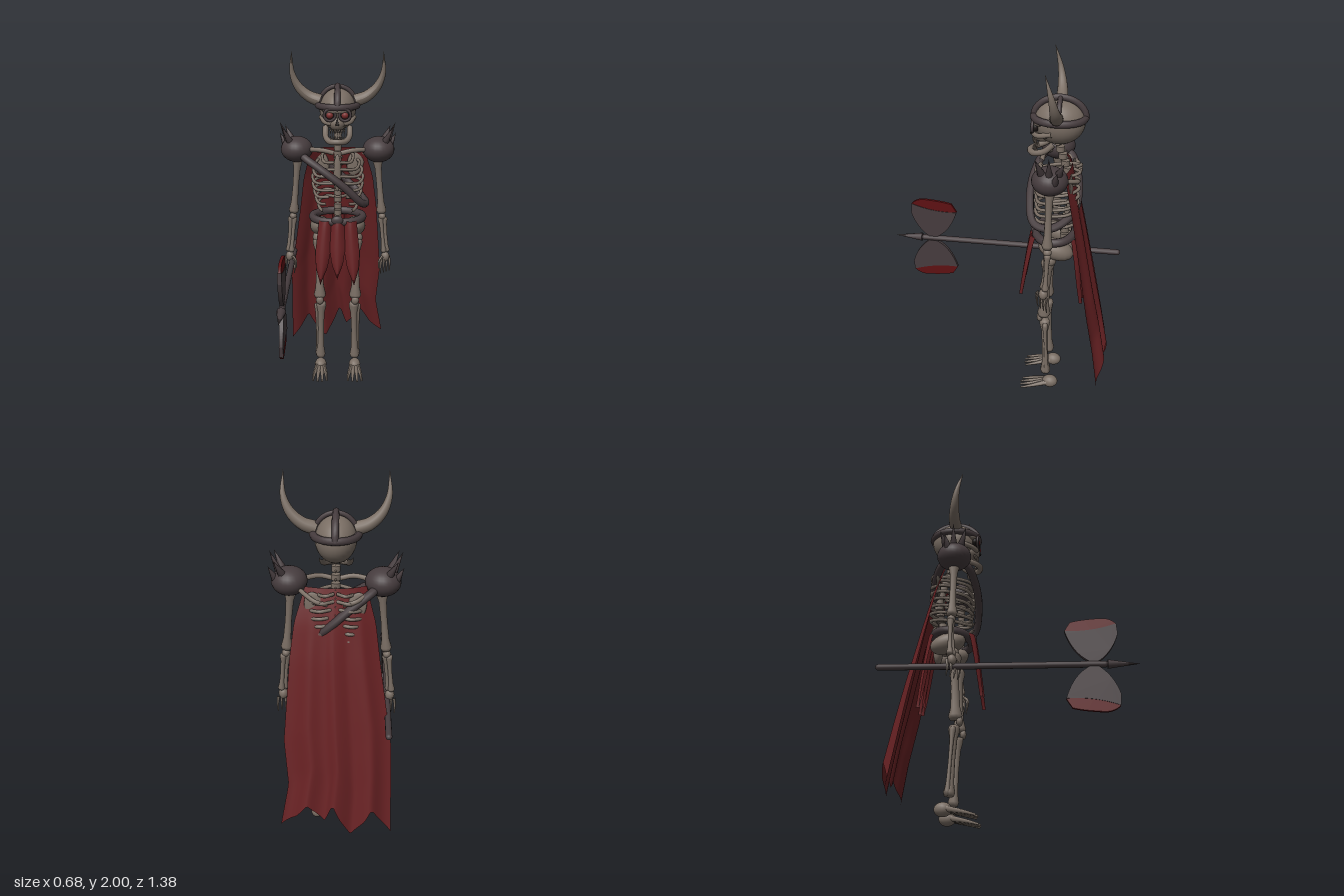
import * as THREE from 'three';

const mat = (name, color, side = THREE.FrontSide) => {
  const m = new THREE.MeshStandardMaterial({ color, side });
  m.name = name;
  return m;
};
const V = (x, y, z) => new THREE.Vector3(x, y, z);

// linear interpolation through [t, value] pairs
const key = (pairs, t) => {
  for (let i = 1; i < pairs.length; i++) {
    const [a, va] = pairs[i - 1], [b, vb] = pairs[i];
    if (t <= b) return va + (vb - va) * (t - a) / (b - a);
  }
  return pairs[pairs.length - 1][1];
};

export function createModel() {
  const bone = mat('bone', 0x7a6e64), iron = mat('dark iron', 0x463c3e);
  const cloth = mat('red cloth', 0x672123, THREE.DoubleSide);
  const edge = mat('blood red edge', 0x5e1012), eyeRed = mat('eye red', 0x7a2a2a);
  const dark = mat('socket black', 0x1d1817);
  const model = new THREE.Group();
  model.name = 'skeletonWarrior';
  const body = new THREE.Group();
  body.name = 'body';
  body.position.x = -0.012;
  model.add(body);

  const add = (name, geo, m, parent = body) => {
    const mesh = new THREE.Mesh(geo, m);
    mesh.name = name;
    parent.add(mesh);
    return mesh;
  };
  const ball = (name, m, p, r, seg = 20) => {
    const g = new THREE.SphereGeometry(1, seg, Math.round(seg * 0.7));
    g.scale(...r);
    const b = add(name, g, m);
    b.position.set(...p);
    return b;
  };
  // turned shape between two points, profile as [radius, fraction along]
  const turned = (name, m, a, b, profile, seg = 10) => {
    const d = V(...b).sub(V(...a)), len = d.length();
    const g = new THREE.LatheGeometry(profile.map(([r, t]) => new THREE.Vector2(r, t * len)), seg);
    const t = add(name, g, m);
    t.position.set(...a);
    t.quaternion.setFromUnitVectors(V(0, 1, 0), d.normalize());
    return t;
  };
  const longBone = (name, a, b, r) => turned(name, bone, a, b,
    [[0, 0], [r * 1.3, 0.02], [r * 1.5, 0.07], [r, 0.2], [r * 0.85, 0.5], [r, 0.8], [r * 1.45, 0.93], [r * 1.2, 0.98], [0, 1]]);
  const spike = (name, m, a, b, r, seg = 8) => turned(name, m, a, b, [[0, 0], [r, 0.001], [0, 1]], seg);
  // tube through points whose radius follows a rule
  const tube = (name, m, pts, radius, n = 24, closed = false, seg = 8, rule = null) => {
    const curve = new THREE.CatmullRomCurve3(pts.map(p => V(...p)), closed);
    const g = new THREE.TubeGeometry(curve, n, radius, seg, closed);
    if (rule) {
      const p = g.attributes.position, v = V(0, 0, 0);
      for (let i = 0; i < p.count; i++) {
        const t = Math.floor(i / (seg + 1)) / n, c = curve.getPointAt(t);
        v.fromBufferAttribute(p, i).sub(c).multiplyScalar(rule(t)).add(c);
        p.setXYZ(i, v.x, v.y, v.z);
      }
      g.computeVertexNormals();
    }
    return add(name, g, m);
  };
  const sheet = (name, nu, nv, f) => {
    const g = new THREE.PlaneGeometry(1, 1, nu, nv), p = g.attributes.position;
    for (let i = 0; i < p.count; i++) p.setXYZ(i, ...f(p.getX(i) + 0.5, 0.5 - p.getY(i)));
    g.computeVertexNormals();
    return add(name, g, cloth);
  };

  // skull and jaw
  ball('cranium', bone, [0, 1.67, -0.32], [0.105, 0.12, 0.135], 28);
  ball('upperJaw', bone, [0, 1.605, -0.235], [0.05, 0.05, 0.06]);
  ball('browRidge', bone, [0, 1.675, -0.22], [0.085, 0.022, 0.045]);
  spike('noseHole', dark, [0, 1.595, -0.178], [0, 1.64, -0.185], 0.013, 6);
  tube('lowerJaw', bone, [[-0.07, 1.57, -0.3], [-0.068, 1.525, -0.25], [-0.045, 1.505, -0.19], [0, 1.505, -0.17],
    [0.045, 1.505, -0.19], [0.068, 1.525, -0.25], [0.07, 1.57, -0.3]], 0.017, 32);
  for (let i = -3; i <= 3; i++) {
    const x = i * 0.013, z = -0.185 - Math.abs(i) * 0.006;
    spike('upperTooth', bone, [x, 1.572, z], [x, 1.542, z], 0.007, 6);
    spike('lowerTooth', bone, [x, 1.512, z - 0.004], [x, 1.54, z - 0.004], 0.007, 6);
  }

  // helmet bands
  const ring = (f, n = 12, end = n) => Array.from({ length: end }, (_, i) => f(i * 2 * Math.PI / n));
  const rim = tube('helmetRim', iron, ring(a => [0.113 * Math.cos(a), 0, 0.134 * Math.sin(a)]), 0.02, 48, true);
  rim.position.set(0, 1.695, -0.318);
  const arc = r => Array.from({ length: 9 }, (_, i) => [r * Math.cos(i * Math.PI / 8), 0.112 * Math.sin(i * Math.PI / 8), 0]);
  tube('crossBand', iron, arc(0.107), 0.013, 28).position.set(0, 1.69, -0.32);
  const crest = tube('crestBand', iron, arc(0.137), 0.018, 28);
  crest.position.set(0, 1.69, -0.32);
  crest.rotation.y = Math.PI / 2;

  for (const s of [-1, 1]) {
    // face and horns
    ball('eyeSocket', dark, [s * 0.043, 1.653, -0.2], [0.031, 0.028, 0.022]);
    ball('eye', eyeRed, [s * 0.043, 1.653, -0.186], [0.02, 0.018, 0.014], 14);
    add('eyeRim', new THREE.TorusGeometry(0.032, 0.008, 8, 20), iron).position.set(s * 0.043, 1.655, -0.185);
    tube('cheekbone', bone, [[s * 0.03, 1.605, -0.19], [s * 0.068, 1.61, -0.215], [s * 0.095, 1.63, -0.29]], 0.014, 12);
    tube('horn', bone, [[s * 0.1, 1.72, -0.31], [s * 0.165, 1.745, -0.315], [s * 0.225, 1.8, -0.31],
      [s * 0.258, 1.88, -0.295], [s * 0.258, 2.0, -0.262]], 0.036, 32, false, 14, t => 1.01 - Math.pow(t, 1.3));

    // shoulders and spikes
    ball('pauldron', iron, [s * 0.238, 1.44, -0.3], [0.093, 0.075, 0.095], 24);
    for (const [bx, by, bz, tx, ty, tz] of [[0.285, 1.48, -0.3, 0.335, 1.6, -0.3], [0.27, 1.49, -0.345, 0.31, 1.57, -0.375],
      [0.275, 1.49, -0.26, 0.32, 1.585, -0.23], [0.305, 1.46, -0.33, 0.34, 1.53, -0.345]])
      spike('pauldronSpike', iron, [s * bx, by, bz], [s * tx, ty, tz], 0.022);
    tube('collarbone', bone, [[s * 0.02, 1.43, -0.23], [s * 0.09, 1.445, -0.235], [s * 0.2, 1.44, -0.29]], 0.014, 14);
    const blade = ball('shoulderBlade', bone, [s * 0.105, 1.34, -0.4], [0.05, 0.08, 0.012]);
    blade.rotation.z = s * -0.25;
    tube('shoulderRidge', bone, [[s * 0.04, 1.36, -0.425], [s * 0.1, 1.38, -0.435], [s * 0.2, 1.42, -0.34]], 0.012, 14);

    // ribs
    for (let i = 0; i < 8; i++) {
      const y = 1.4 - i * 0.041, w = [0.09, 0.125, 0.142, 0.148, 0.145, 0.138, 0.128, 0.115][i];
      const gap = i < 5 ? 0.015 : 0.03 + (i - 4) * 0.016;
      tube('rib', bone, [[s * 0.01, y + 0.012, -0.41], [s * w * 0.55, y + 0.012, -0.442], [s * w * 0.95, y, -0.39],
        [s * w, y - 0.012, -0.31], [s * w * 0.8, y - 0.025, -0.235], [s * gap, y - 0.02, -0.205]], 0.0095, 28, false, 7);
    }

    // arms
    longBone('upperArm', [s * 0.232, 1.4, -0.3], [s * 0.263, 1.05, -0.3], 0.021);
    ball('elbow', bone, [s * 0.266, 1.035, -0.302], [0.022, 0.022, 0.024], 12);
    longBone('forearmInner', [s * 0.258, 1.03, -0.3], [s * 0.279, 0.81, -0.285], 0.012);
    longBone('forearmOuter', [s * 0.278, 1.03, -0.305], [s * 0.297, 0.81, -0.3], 0.013);
    ball('palm', bone, [s * 0.288, 0.785, -0.29], [0.026, 0.032, 0.026], 12);
    for (let i = 0; i < 4; i++) {
      const x = 0.288 + (i - 1.5) * 0.015, z = -0.26 - i * 0.018;
      tube('finger', bone, [[s * x, 0.78, z], [s * (x + (i - 1.5) * 0.004), 0.735, z + 0.006],
        [s * (x + (i - 1.5) * 0.003), 0.685, z]], 0.0085, 10, false, 6, t => 1.05 - 0.7 * t);
    }
    tube('thumb', bone, [[s * 0.27, 0.79, -0.27], [s * 0.25, 0.765, -0.25], [s * 0.25, 0.72, -0.25]],
      0.009, 10, false, 6, t => 1.05 - 0.7 * t);

    // hips and legs
    const hip = ball('hipBone', bone, [s * 0.105, 0.965, -0.335], [0.062, 0.058, 0.1]);
    hip.rotation.x = -0.3;
    ball('hipJoint', bone, [s * 0.115, 0.9, -0.305], [0.036, 0.036, 0.036], 14);
    longBone('thigh', [s * 0.113, 0.9, -0.295], [s * 0.108, 0.515, -0.28], 0.026);
    ball('kneecap', bone, [s * 0.108, 0.51, -0.258], [0.024, 0.028, 0.018], 12);
    longBone('shin', [s * 0.1, 0.495, -0.285], [s * 0.107, 0.105, -0.302], 0.021);
    longBone('outerShin', [s * 0.127, 0.48, -0.29], [s * 0.123, 0.11, -0.31], 0.011);
    ball('heel', bone, [s * 0.108, 0.045, -0.33], [0.037, 0.038, 0.047], 14);
    for (let i = 0; i < 4; i++) {
      const k = i - 1.5;
      tube('toe', bone, [[s * (0.108 + k * 0.012), 0.045, -0.31], [s * (0.108 + k * 0.024), 0.027, -0.23],
        [s * (0.108 + k * 0.029), 0.008, -0.148 - Math.abs(k) * 0.008]], 0.015, 12, false, 7, t => 1.1 - 0.75 * t);
    }
  }

  // spine, breastbone and tailbone
  for (let i = 0; i < 16; i++) {
    const t = i / 15, y = 1.56 - t * 0.6;
    const z = key([[0, -0.315], [0.25, -0.37], [0.5, -0.41], [0.8, -0.37], [1, -0.37]], t);
    add('vertebra', new THREE.CylinderGeometry(0.024, 0.024, 0.03, 10), bone).position.set(0, y, z);
    spike('spineSpur', bone, [0, y, z], [0, y - 0.015, z - 0.045], 0.012, 6);
  }
  ball('breastbone', bone, [0, 1.32, -0.205], [0.022, 0.11, 0.012]);
  ball('tailbone', bone, [0, 0.945, -0.4], [0.045, 0.06, 0.025]);

  // belt, buckle and chest strap
  const belt = tube('belt', iron, ring(a => [0.15 * Math.cos(a), -0.008 * Math.sin(a), 0.108 * Math.sin(a)]), 0.024, 48, true);
  belt.position.set(0, 1.028, -0.322);
  ball('buckle', iron, [0, 1.035, -0.2], [0.035, 0.028, 0.018]);
  tube('chestStrap', iron, [[-0.2, 1.41, -0.24], [-0.1, 1.345, -0.19], [0.04, 1.24, -0.178], [0.145, 1.135, -0.215],
    [0.165, 1.125, -0.31], [0.08, 1.2, -0.425], [-0.08, 1.34, -0.425], [-0.2, 1.42, -0.36]], 0.022, 64, true);

  // waist cloth strips
  const strip = (name, x0, x1, w, tip, z0, z1) => sheet(name, 8, 14, (u, v) => {
    const k = (u - 0.5) * 2, half = w * key([[0, 0.85], [0.5, 1], [0.75, 0.75], [1, 0.03]], v);
    return [x0 + (x1 - x0) * v + k * half, 1.03 + (tip - 1.03) * v,
      z0 + (z1 - z0) * Math.pow(v, 0.8) - Math.sign(z1 - z0) * 0.03 * k * k * (1 - v * 0.4)];
  });
  for (const [dz, a, b, name] of [[0, -0.19, -0.135, 'frontCloth'], [1, -0.445, -0.495, 'backCloth']]) {
    strip(name, -0.07, -0.1, 0.045, 0.655 - dz * 0.06, a, b);
    strip(name, 0.002, 0.0, 0.045, 0.69 - dz * 0.1, a + (dz ? -0.004 : 0.004), b);
    strip(name, 0.075, 0.1, 0.045, 0.65 - dz * 0.03, a, b);
  }

  // cape with torn hem
  const left = [[0, -0.155], [0.14, -0.205], [0.29, -0.23], [0.63, -0.295], [1, -0.303]];
  const right = [[0, 0.155], [0.14, 0.21], [0.29, 0.235], [0.63, 0.267], [0.82, 0.245], [1, 0.287]];
  const hem = [[0, 0.11], [0.1, 0.19], [0.18, 0.27], [0.24, 0.2], [0.37, 0.11], [0.47, 0.22], [0.53, 0.31],
    [0.6, 0.2], [0.7, 0.26], [0.76, 0.3], [0.86, 0.22], [1, 0.16]];
  const drop = [[0, -0.395], [0.14, -0.44], [0.32, -0.485], [0.63, -0.555], [1, -0.64]];
  sheet('cape', 48, 32, (u, v) => {
    const k = 2 * u - 1, a = key(left, v), b = key(right, v);
    return [a + (b - a) * u, 1.435 + (key(hem, u) - 1.435) * v,
      key(drop, v) + 0.045 * k * k * (u < 0.5 ? 1 : 0.6) + 0.012 * v * Math.sin(u * 22)];
  });

  // two-bladed axe, lying along z
  const axe = new THREE.Group();
  axe.name = 'axe';
  axe.position.set(-0.287, 0.755, 0);
  model.add(axe);
  const shaft = add('axeShaft', new THREE.CapsuleGeometry(0.017, 1.18, 6, 12), iron, axe);
  shaft.rotation.x = Math.PI / 2;
  shaft.position.z = -0.083;
  const point = add('axePoint', new THREE.ConeGeometry(0.026, 0.17, 8), iron, axe);
  point.rotation.x = Math.PI / 2;
  point.position.z = 0.605;
  // blade outlines as (z, height above shaft)
  const plate = (draw, thick) => {
    const s = new THREE.Shape();
    draw(s);
    const g = new THREE.ExtrudeGeometry(s, { depth: thick, bevelEnabled: false, curveSegments: 14 });
    g.translate(0, 0, -thick / 2);
    g.rotateY(-Math.PI / 2);
    return g;
  };
  const bladeGeo = plate(s => {
    s.moveTo(0.425, 0.015);
    s.lineTo(0.475, 0.015);
    s.quadraticCurveTo(0.55, 0.07, 0.58, 0.17);
    s.lineTo(0.575, 0.23);
    s.quadraticCurveTo(0.44, 0.18, 0.3, 0.19);
    s.quadraticCurveTo(0.34, 0.06, 0.425, 0.015);
  }, 0.022);
  const edgeGeo = plate(s => {
    s.moveTo(0.575, 0.23);
    s.quadraticCurveTo(0.54, 0.265, 0.49, 0.262);
    s.quadraticCurveTo(0.38, 0.255, 0.33, 0.24);
    s.lineTo(0.3, 0.19);
    s.quadraticCurveTo(0.44, 0.18, 0.575, 0.23);
  }, 0.016);
  for (const turn of [0, Math.PI]) {
    const half = new THREE.Group();
    half.name = 'axeHead';
    half.rotation.z = turn;
    add('axeBlade', bladeGeo, iron, half);
    add('axeEdge', edgeGeo, edge, half);
    axe.add(half);
  }
  return model;
}
